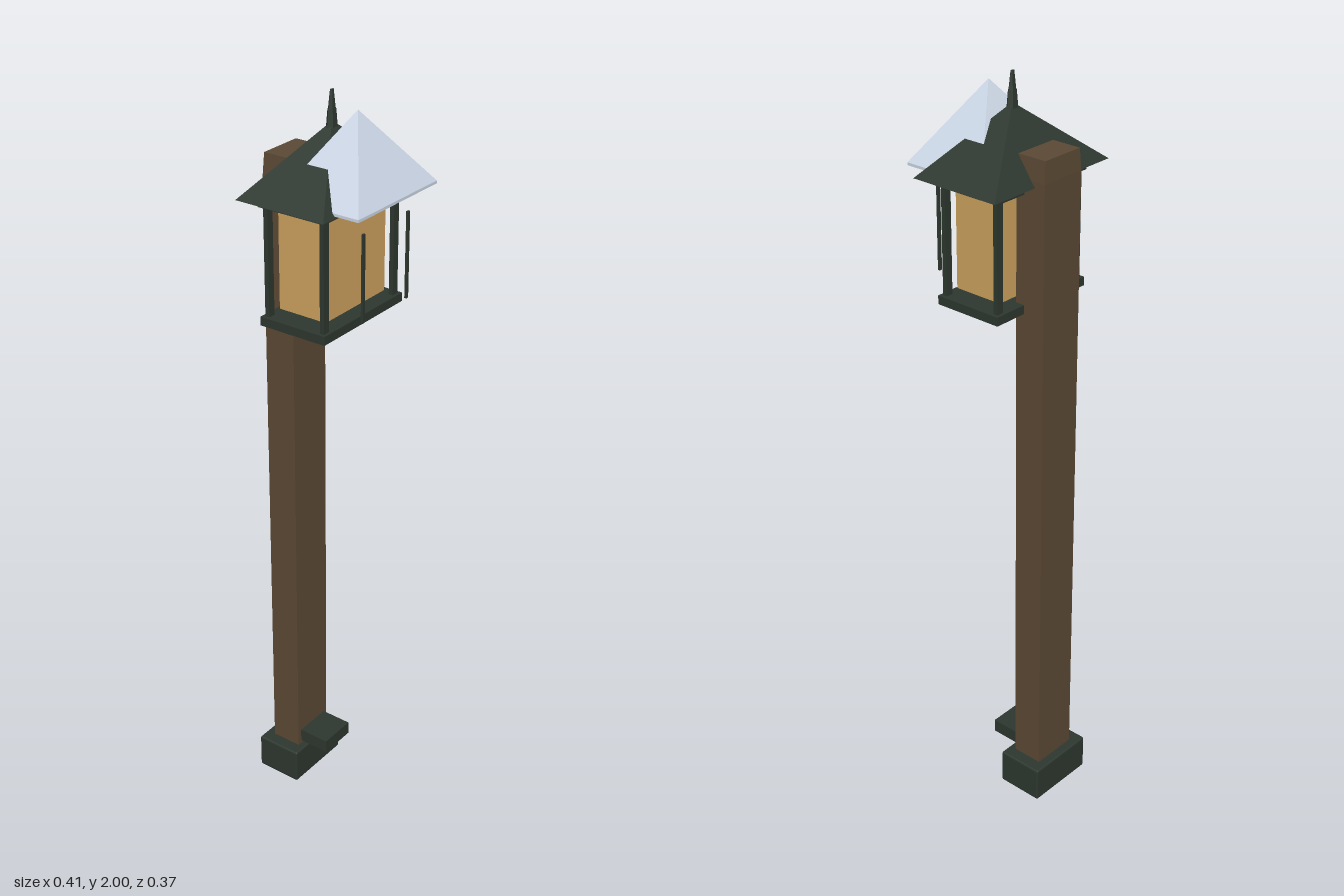
import * as THREE from 'three';
import { RoundedBoxGeometry } from 'three/addons/geometries/RoundedBoxGeometry.js';

export function createModel() {
  const model = new THREE.Group();
  model.name = 'lampPost';

  const material = (name, color) => {
    const m = new THREE.MeshStandardMaterial({ color });
    m.name = name;
    m.flatShading = true;
    return m;
  };
  const iron = material('darkIron', 0x2d372f);
  const wood = material('wood', 0x5b4934);
  const glow = material('amberGlass', 0xcda25e);
  const snow = material('paleBlueSnow', 0xcbd6e5);

  const add = (name, geometry, mat, parent = model) => {
    const mesh = new THREE.Mesh(geometry, mat);
    mesh.name = name;
    parent.add(mesh);
    return mesh;
  };
  // Box given by its extents on each axis
  const box = (name, [x0, x1], [y0, y1], [z0, z1], mat, parent) =>
    add(name, new THREE.BoxGeometry(x1 - x0, y1 - y0, z1 - z0)
      .translate((x0 + x1) / 2, (y0 + y1) / 2, (z0 + z1) / 2), mat, parent);
  // Four-sided taper with half widths hx, hz at the foot
  const taper = (name, hx, hz, y0, y1, z, top, mat, parent) =>
    add(name, new THREE.CylinderGeometry(top * Math.SQRT2, Math.SQRT2, 1, 4)
      .rotateY(Math.PI / 4).scale(hx, y1 - y0, hz).translate(0, (y0 + y1) / 2, z), mat, parent);

  // Post, its slightly tapered head, footing and step
  box('post', [-0.065, 0.065], [0, 1.78], [-0.162, -0.076], wood);
  taper('postHead', 0.065, 0.043, 1.78, 1.835, -0.119, 0.94, wood);
  add('footing', new RoundedBoxGeometry(0.2, 0.098, 0.13, 1, 0.004).translate(0, 0.051, -0.122), iron);
  box('footBlock', [-0.053, 0.053], [0.11, 0.147], [-0.076, 0.012], iron);

  // Lantern cage
  const lantern = new THREE.Group();
  lantern.name = 'lantern';
  model.add(lantern);
  box('lanternFloor', [-0.16, 0.16], [1.44, 1.463], [-0.101, 0.091], iron, lantern);
  box('lanternTop', [-0.16, 0.16], [1.742, 1.765], [-0.101, 0.091], iron, lantern);
  box('glassBox', [-0.12, 0.12], [1.477, 1.727], [-0.073, 0.065], glow, lantern);
  for (const x of [-0.141, 0.141]) {
    for (const z of [-0.087, 0.077]) {
      box('cornerPost', [x - 0.01, x + 0.01], [1.46, 1.745], [z - 0.006, z + 0.006], iron, lantern);
    }
  }
  for (const x of [-0.09, 0.09]) {
    box('frontBar', [x - 0.004, x + 0.004], [1.49, 1.713], [0.148, 0.154], iron, lantern);
  }

  // Roof, finial and the snow lying over the front
  taper('roof', 0.203, 0.127, 1.765, 1.925, -0.006, 0, iron, lantern);
  const finial = (name, r0, r1, y0, y1) =>
    add(name, new THREE.CylinderGeometry(r1, r0, y1 - y0, 6).rotateY(Math.PI / 6)
      .scale(1, 1, 0.62).translate(0, (y0 + y1) / 2, -0.006), iron, lantern);
  finial('finialBase', 0.02, 0.014, 1.9, 1.955);
  finial('finialTip', 0.013, 0.006, 1.95, 2);
  box('snowEdge', [-0.157, 0.157], [1.769, 1.776], [-0.049, 0.185], snow, lantern);
  taper('snowCap', 0.157, 0.117, 1.776, 1.966, 0.068, 0, snow, lantern);

  return model;
}
